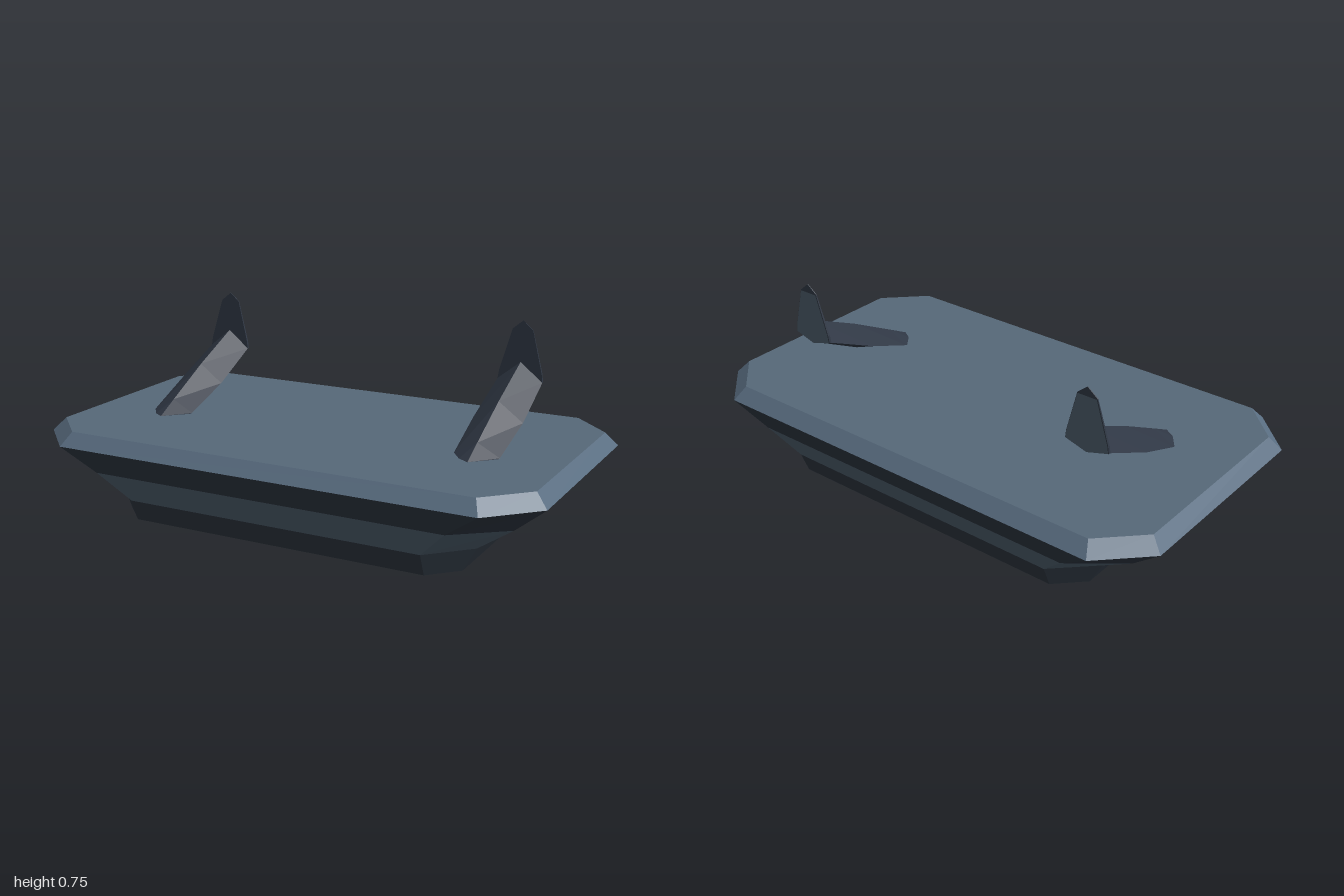
import * as THREE from 'three';

const mat = (name, color) => new THREE.MeshStandardMaterial({ name, color, side: THREE.DoubleSide });

// Flat-faced skin through rings of points, with optional end caps
function loft(rings, capStart, capEnd) {
  const pos = [];
  const tri = (a, b, c) => pos.push(...a, ...b, ...c);
  for (let r = 0; r < rings.length - 1; r++) {
    const a = rings[r], b = rings[r + 1], n = a.length;
    for (let i = 0; i < n; i++) {
      const j = (i + 1) % n;
      tri(a[i], a[j], b[j]);
      tri(a[i], b[j], b[i]);
    }
  }
  const first = rings[0], last = rings[rings.length - 1];
  for (let i = 1; i < first.length - 1; i++) {
    if (capStart) tri(first[0], first[i + 1], first[i]);
    if (capEnd) tri(last[0], last[i], last[i + 1]);
  }
  const g = new THREE.BufferGeometry();
  g.setAttribute('position', new THREE.Float32BufferAttribute(pos, 3));
  g.computeVertexNormals();
  return g;
}

// Chamfered rectangle: half sizes x, z and where the straight sides end (cx, cz)
const octagon = ([y, x, z, cx, cz]) => [
  [x, y, cz], [x, y, -cz], [cx, y, -z], [-cx, y, -z],
  [-x, y, -cz], [-x, y, cz], [-cx, y, z], [cx, y, z],
];

export function createModel() {
  const group = new THREE.Group();
  const deckBlue = mat('deck slate', 0x566878);
  const rimBlue = mat('rim slate', 0x5a6e82);
  const bandBlue = mat('band slate', 0x4a5a68);
  const dark = mat('dark hull', 0x2a323c);
  const clawGrey = mat('claw grey', 0x2f3744);

  const add = (parent, name, geometry, material) => {
    const m = new THREE.Mesh(geometry, material);
    m.name = name;
    parent.add(m);
    return m;
  };

  // Hull: stacked octagonal bands
  const rings = [
    [0, 0.69, 0.44, 0.59, 0.34],
    [0.085, 0.735, 0.475, 0.59, 0.33],
    [0.195, 0.885, 0.535, 0.7, 0.39],
    [0.29, 1, 0.58, 0.83, 0.41],
    [0.34, 0.955, 0.535, 0.805, 0.385],
  ].map(octagon);
  add(group, 'base', loft([rings[0], rings[1]], true, false), dark);
  add(group, 'middleBand', loft([rings[1], rings[2]]), bandBlue);
  add(group, 'upperBand', loft([rings[2], rings[3]]), dark);
  add(group, 'rim', loft([rings[3], rings[4]]), rimBlue);
  add(group, 'deck', loft([rings[4]], false, true), deckBlue);

  // Prong sections from front to back: z, ridge, side edge, keel, half width
  const prong = loft([
    [0.2, 0.34, 0.32, 0.27, 0.06],
    [0.11, 0.387, 0.342, 0.325, 0.085],
    [-0.09, 0.49, 0.42, 0.385, 0.095],
    [-0.31, 0.59, 0.52, 0.495, 0.088],
  ].map(([z, top, mid, low, w]) => [[0, top, z], [w, mid, z], [0, low, z], [-w, mid, z]]), true, true);

  // Upright spike: thin plate that leans back and tapers to its tip
  const outline = [[0, 0.495], [0.088, 0.52], [0.084, 0.55], [0.04, 0.712], [0, 0.745],
    [-0.04, 0.712], [-0.084, 0.55], [-0.088, 0.52]];
  const spike = new THREE.ExtrudeGeometry(
    new THREE.Shape(outline.map(([x, y]) => new THREE.Vector2(x, y))),
    { depth: 1, bevelEnabled: false });
  const p = spike.attributes.position;
  const frontZ = (y) => -0.307 - (y - 0.5) * 0.07;
  const thick = (y) => 0.003 + (0.745 - y) * 0.03;
  for (let i = 0; i < p.count; i++) {
    const y = p.getY(i);
    p.setZ(i, frontZ(y) - (1 - p.getZ(i)) * thick(y));
  }
  spike.computeVertexNormals();

  // Lighter panel on the back of the spike
  const back = [[0, 0.495], [-0.086, 0.521], [-0.082, 0.55], [-0.038, 0.71],
    [0.038, 0.71], [0.082, 0.55], [0.086, 0.521]]
    .map(([x, y]) => [x, y, frontZ(y) - thick(y) - 0.002]);
  const panel = loft([back], false, true);

  for (const [name, x] of [['leftClaw', 0.64], ['rightClaw', -0.64]]) {
    const claw = new THREE.Group();
    claw.name = name;
    claw.position.x = x;
    add(claw, 'prong', prong, clawGrey);
    add(claw, 'spike', spike, clawGrey);
    add(claw, 'spikeBack', panel, bandBlue);
    group.add(claw);
  }
  return group;
}
